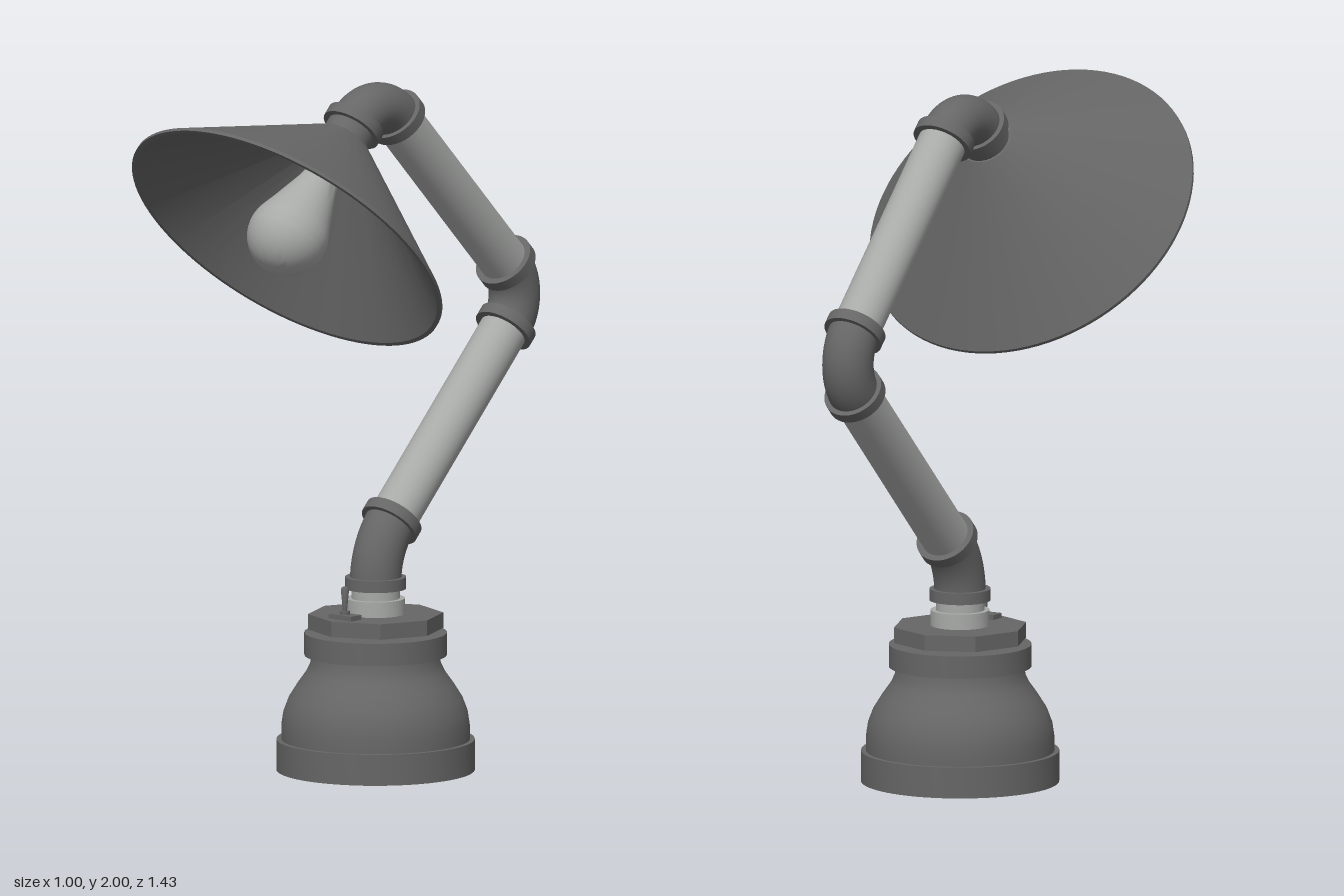
import * as THREE from 'three';
import { toCreasedNormals } from 'three/addons/utils/BufferGeometryUtils.js';

const ironMat = new THREE.MeshStandardMaterial({ color: 0x666666 });
ironMat.name = 'dark iron';
const steelMat = new THREE.MeshStandardMaterial({ color: 0xa8aaa8 });
steelMat.name = 'light steel';

const BASE_Z = -0.025;
const UP = new THREE.Vector3(0, 1, 0);
const at = (y, z) => new THREE.Vector3(0, y, z);

function add(parent, name, geometry, material) {
  const mesh = new THREE.Mesh(geometry, material);
  mesh.name = name;
  parent.add(mesh);
  return mesh;
}

// Turned shape from [radius, height] pairs, with sharp steps kept sharp
function turned(points, segments = 64) {
  const profile = points.map(([r, y]) => new THREE.Vector2(r, y));
  return toCreasedNormals(new THREE.LatheGeometry(profile, segments), 0.6);
}

// Straight round bar between two points
function bar(parent, name, a, b, radius, material) {
  const dir = b.clone().sub(a);
  const mesh = add(parent, name, new THREE.CylinderGeometry(radius, radius, dir.length(), 40), material);
  mesh.position.copy(a).add(b).multiplyScalar(0.5);
  mesh.quaternion.setFromUnitVectors(UP, dir.normalize());
}

// Curved pipe fitting around a corner, with a collar at each end
function elbow(parent, name, corner, dirIn, dirOut, reach) {
  const angle = dirIn.angleTo(dirOut);
  const k = reach * (1 - (4 / 3) * Math.tan(angle / 4) / Math.tan(angle / 2));
  const on = (dir, d) => corner.clone().addScaledVector(dir, d);
  const start = on(dirIn, -reach), end = on(dirOut, reach);
  const curve = new THREE.CubicBezierCurve3(start, on(dirIn, -k), on(dirOut, k), end);
  const group = new THREE.Group();
  group.name = name;
  parent.add(group);
  add(group, 'elbowPipe', new THREE.TubeGeometry(curve, 24, 0.074, 40), ironMat);
  for (const [p, d] of [[start, dirIn], [end, dirOut]]) {
    bar(group, 'collar', p.clone().addScaledVector(d, -0.017), p.clone().addScaledVector(d, 0.017), 0.088, ironMat);
  }
  return { start, end };
}

export function createModel() {
  const lamp = new THREE.Group();
  lamp.name = 'pipeLamp';

  // Bell-shaped base
  const base = new THREE.Group();
  base.name = 'base';
  base.position.z = BASE_Z;
  lamp.add(base);
  add(base, 'bell', turned([
    [0, 0], [0.285, 0], [0.285, 0.09], [0.271, 0.09], [0.271, 0.13], [0.265, 0.17], [0.25, 0.21],
    [0.225, 0.25], [0.2, 0.285], [0.188, 0.31], [0.184, 0.335], [0.205, 0.335], [0.205, 0.4], [0, 0.4],
  ]), ironMat);
  add(base, 'nutNeck', new THREE.CylinderGeometry(0.09, 0.09, 0.02, 40), ironMat).position.y = 0.405;

  // Octagonal nut with a corner on the x axis
  const nut = toCreasedNormals(new THREE.CylinderGeometry(0.195, 0.195, 0.045, 8), 0.3);
  add(base, 'octagonNut', nut, ironMat).position.y = 0.4325;
  add(base, 'stub', turned([[0.085, 0.45], [0.085, 0.5], [0.07, 0.5], [0.07, 0.54]], 40), steelMat);

  // Toggle switch on the front of the nut
  const toggle = new THREE.Group();
  toggle.name = 'toggleSwitch';
  toggle.position.set(0, 0.455, 0.11);
  lamp.add(toggle);
  add(toggle, 'switchPlate', new THREE.BoxGeometry(0.085, 0.014, 0.045), ironMat).position.y = 0.007;
  add(toggle, 'switchLever', turned([
    [0.014, 0.012], [0.014, 0.024], [0.006, 0.024], [0.012, 0.085], [0.009, 0.093], [0, 0.096],
  ], 20), ironMat);

  // Three elbows joined by two straight pipes
  const s = Math.SQRT1_2;
  const back = at(s, -s), forward = at(s, s), down = at(-s, s);
  const low = elbow(lamp, 'lowerElbow', at(0.645, BASE_Z), UP, back, 0.1);
  const mid = elbow(lamp, 'middleElbow', at(1.31, -0.69), back, forward, 0.13);
  const top = elbow(lamp, 'upperElbow', at(1.98, -0.02), forward, down, 0.13);
  bar(lamp, 'lowerPipe', low.end, mid.start, 0.07, steelMat);
  bar(lamp, 'upperPipe', mid.end, top.start, 0.07, steelMat);
  bar(lamp, 'shadeNeck', top.end, at(1.84, 0.12), 0.072, ironMat);

  // Tilted head: conical shade, socket and bulb, measured from the rim
  const head = new THREE.Group();
  head.name = 'head';
  head.position.set(0, 1.597, 0.368);
  head.rotation.x = -Math.PI / 4;
  lamp.add(head);
  add(head, 'shade', turned([
    [0.487, 0], [0.5, 0], [0.5, 0.01], [0.08, 0.357], [0, 0.357], [0, 0.347], [0.076, 0.347], [0.487, 0],
  ], 96), ironMat);
  add(head, 'socket', turned([[0, 0.27], [0.065, 0.27], [0.065, 0.35]], 40), ironMat);

  // Pear-shaped bulb: a round end running into a narrow neck
  const bulb = [];
  for (let i = 0; i <= 16; i++) {
    const a = (i / 16) * Math.PI * 0.62;
    bulb.push([0.117 * Math.sin(a), 0.008 - 0.117 * Math.cos(a)]);
  }
  bulb.push([0.094, 0.09], [0.077, 0.14], [0.06, 0.19], [0.05, 0.235], [0.048, 0.28]);
  add(head, 'bulb', turned(bulb, 40), steelMat);

  return lamp;
}
